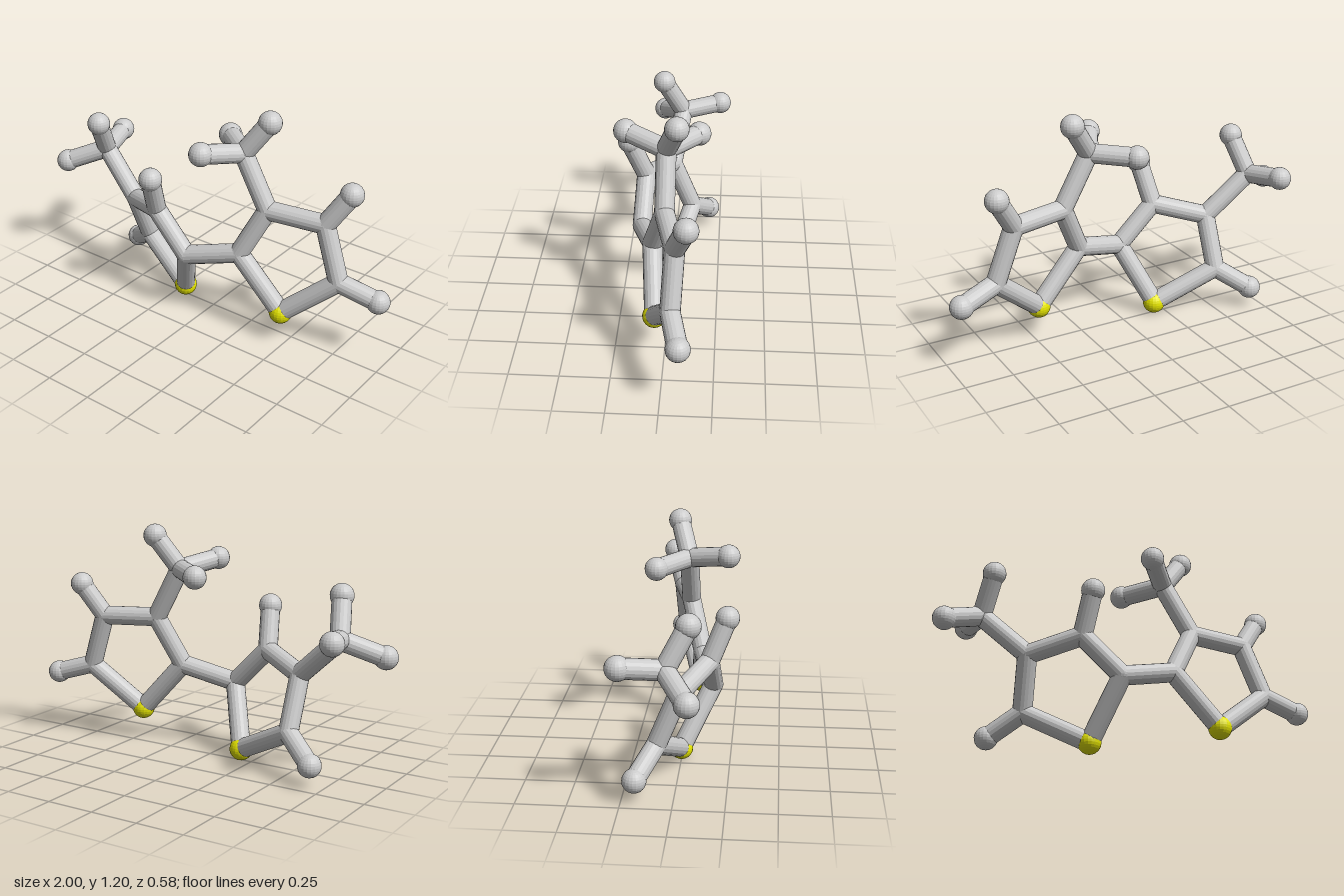
import * as THREE from 'three';

// Atom positions
const ATOMS = {
  // left ring
  sulfurA: [-0.19, 0.06, 0.0], carbonA2: [-0.06, 0.365, 0.155], carbonA3: [-0.26, 0.565, 0.145],
  carbonA4: [-0.515, 0.495, 0.015], carbonA5: [-0.515, 0.225, -0.095],
  hydrogenA3: [-0.225, 0.78, 0.23], hydrogenA5: [-0.68, 0.11, -0.185],
  // left methyl
  methylA: [-0.75, 0.705, -0.03], methylA_H1: [-0.94, 0.62, 0.085],
  methylA_H2: [-0.705, 0.9, 0.075], methylA_H3: [-0.81, 0.73, -0.235],
  // right ring
  sulfurB: [0.465, 0.17, 0.055], carbonB2: [0.22, 0.44, 0.08], carbonB3: [0.34, 0.695, 0.01],
  carbonB4: [0.635, 0.685, -0.055], carbonB5: [0.735, 0.4, -0.04],
  hydrogenB4: [0.74, 0.855, -0.112], hydrogenB5: [0.935, 0.34, -0.087],
  // right methyl
  methylB: [0.19, 0.965, 0.01], methylB_H1: [0, 0.955, -0.143],
  methylB_H2: [0.085, 1.005, 0.217], methylB_H3: [0.305, 1.135, -0.047],
};

const BOND_RADIUS = 0.05;
const END_RADIUS = 0.06;

export function createModel() {
  const model = new THREE.Group();
  model.name = 'molecule';
  const grey = new THREE.MeshStandardMaterial({ color: 0xcccccc, flatShading: true });
  const yellow = new THREE.MeshStandardMaterial({ color: 0xe6e600, flatShading: true });
  const endBall = new THREE.SphereGeometry(END_RADIUS, 20, 14);
  const joint = new THREE.SphereGeometry(BOND_RADIUS, 20, 14);

  // Balls: large at the free ends and sulfurs, bond-sized at the carbon joints
  for (const [name, p] of Object.entries(ATOMS)) {
    const sulfur = name.startsWith('sulfur');
    const large = sulfur || name.startsWith('hydrogen') || name.includes('_H');
    const ball = new THREE.Mesh(large ? endBall : joint, sulfur ? yellow : grey);
    ball.name = name;
    ball.position.set(...p);
    model.add(ball);
  }

  // Rod between two atom centres
  const up = new THREE.Vector3(0, 1, 0);
  function bond(from, to) {
    const a = new THREE.Vector3(...ATOMS[from]);
    const b = new THREE.Vector3(...ATOMS[to]);
    const dir = b.clone().sub(a);
    const rod = new THREE.Mesh(
      new THREE.CylinderGeometry(BOND_RADIUS, BOND_RADIUS, dir.length(), 18), grey);
    rod.name = `bond ${from} to ${to}`;
    rod.position.copy(a).add(b).multiplyScalar(0.5);
    rod.quaternion.setFromUnitVectors(up, dir.normalize());
    model.add(rod);
  }

  // Five-sided rings
  for (const s of ['A', 'B']) {
    const ring = ['sulfur' + s, ...[2, 3, 4, 5].map((n) => 'carbon' + s + n)];
    ring.forEach((name, i) => bond(name, ring[(i + 1) % 5]));
    for (const n of [1, 2, 3]) bond('methyl' + s, `methyl${s}_H${n}`);
    bond('carbon' + s + '5', 'hydrogen' + s + '5');
  }

  // Link between rings and side branches
  bond('carbonA2', 'carbonB2');
  bond('carbonA3', 'hydrogenA3');
  bond('carbonA4', 'methylA');
  bond('carbonB3', 'methylB');
  bond('carbonB4', 'hydrogenB4');
  return model;
}
